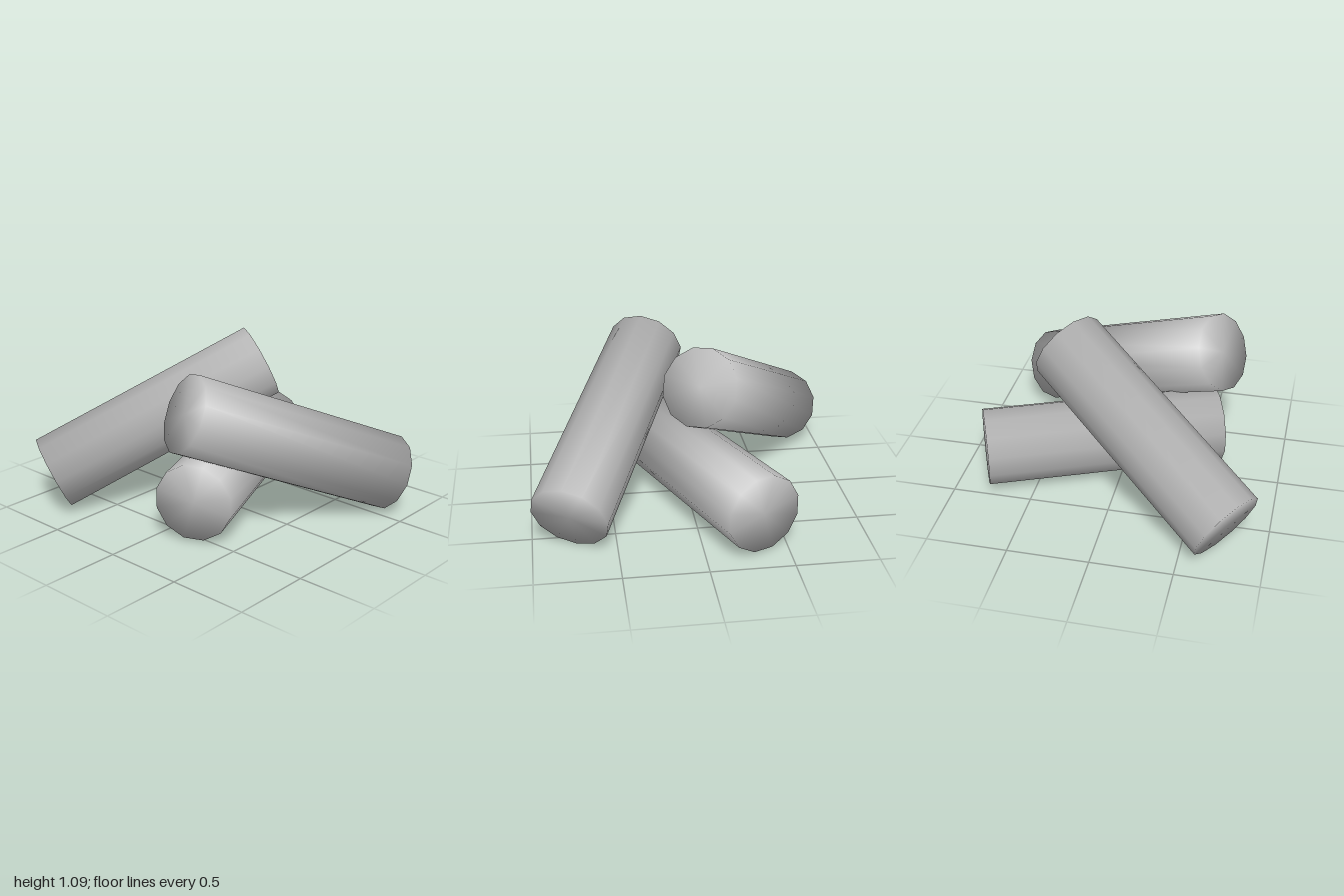
import * as THREE from 'three';

const RADIUS = 0.243, LENGTH = 1.5, SIDES = 12;

// Twelve-sided log whose shading flows softly over the rim onto the caps.
function logGeometry(roll) {
  const g = new THREE.CylinderGeometry(RADIUS, RADIUS, LENGTH, SIDES, 1, false, roll);
  const p = g.attributes.position, n = g.attributes.normal;
  const v = new THREE.Vector3();
  for (let i = 0; i < p.count; i++) {
    const radial = Math.hypot(p.getX(i), p.getZ(i)) / RADIUS;
    v.set(p.getX(i) / RADIUS, Math.sign(p.getY(i)) * (radial > 0.5 ? 0.86 : 1), p.getZ(i) / RADIUS);
    v.normalize();
    n.setXYZ(i, v.x, v.y, v.z);
  }
  return g;
}

// Places a log at a centre, pointing along an axis, rolled about that axis.
function makeLog(name, centre, axis, rollDegrees, material) {
  const mesh = new THREE.Mesh(logGeometry(THREE.MathUtils.degToRad(rollDegrees)), material);
  const y = new THREE.Vector3(...axis).normalize();
  const x = new THREE.Vector3().crossVectors(y, new THREE.Vector3(0, 1, 0)).normalize();
  const z = new THREE.Vector3().crossVectors(x, y);
  mesh.quaternion.setFromRotationMatrix(new THREE.Matrix4().makeBasis(x, y, z));
  mesh.position.set(...centre);
  mesh.name = name;
  return mesh;
}

export function createModel() {
  const grey = new THREE.MeshStandardMaterial({ color: 0xbbbbbb });
  grey.name = 'grey';

  const group = new THREE.Group();
  group.name = 'logPile';
  group.add(
    // Log lying flat on the ground
    makeLog('groundLog', [0.133, 0.255, -0.055], [0.923, 0, -0.385], 15, grey),
    // Log leaning over it from the front
    makeLog('frontLeaningLog', [0.043, 0.52, 0.485], [0.835, -0.39, 0.39], 0, grey),
    // Log leaning over it from the back
    makeLog('backLeaningLog', [-0.203, 0.553, -0.408], [0.75, 0.427, 0.505], -8, grey),
  );
  return group;
}
